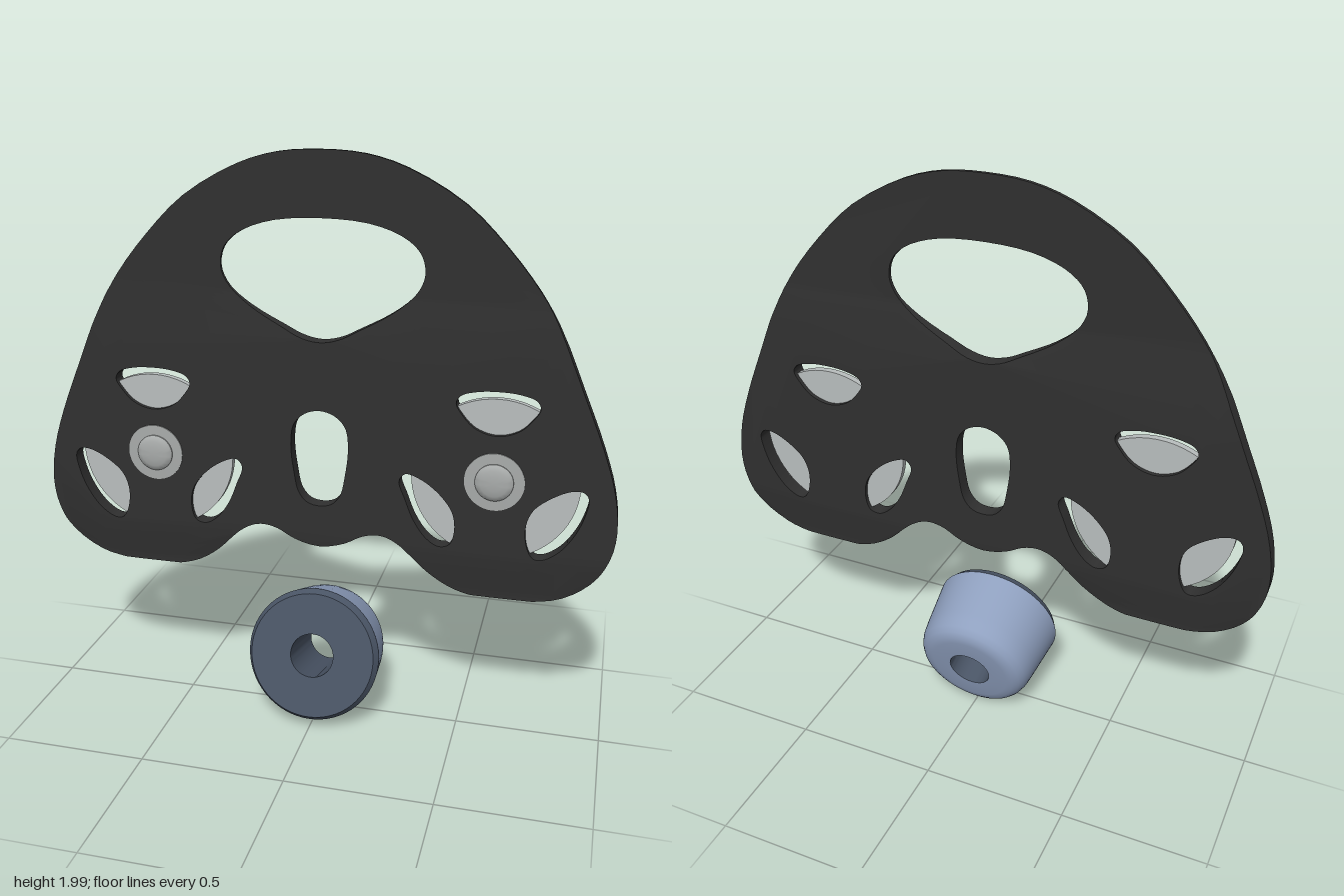
import * as THREE from 'three';
import { toCreasedNormals } from 'three/addons/utils/BufferGeometryUtils.js';

const mat = (name, color) => Object.assign(new THREE.MeshStandardMaterial({ color }), { name });

function mesh(name, geometry, material, parent) {
  const m = new THREE.Mesh(geometry, material);
  m.name = name;
  parent.add(m);
  return m;
}

// Smooth closed curve through a few points
function loop(points, samples) {
  const curve = new THREE.CatmullRomCurve3(points.map(([x, y]) => new THREE.Vector3(x, y, 0)), true);
  return curve.getPoints(samples).slice(0, -1).map(p => new THREE.Vector2(p.x, p.y));
}

// Complete a right half whose first and last points lie on the axis
const mirrored = half => [...half, ...half.slice(1, -1).reverse().map(([x, y]) => [-x, y])];

// Keep the part of a polygon above (side 1) or below (side -1) a height
function clip(poly, height, side) {
  const out = [];
  poly.forEach((a, i) => {
    const b = poly[(i + 1) % poly.length];
    const da = (a.y - height) * side, db = (b.y - height) * side;
    if (da >= 0) out.push(a);
    if (da * db < 0) out.push(a.clone().lerp(b, da / (da - db)));
  });
  return out;
}

// Cut all triangles at the given heights
function slice(geometry, heights) {
  const pos = geometry.attributes.position, out = [];
  for (let i = 0; i < pos.count; i += 3) {
    const tri = [0, 1, 2].map(k => new THREE.Vector3().fromBufferAttribute(pos, i + k));
    for (let b = 0; b < heights.length - 1; b++) {
      const poly = clip(clip(tri, heights[b], 1), heights[b + 1], -1);
      for (let k = 1; k < poly.length - 1; k++) {
        for (const p of [poly[0], poly[k], poly[k + 1]]) out.push(p.x, p.y, p.z);
      }
    }
  }
  const g = new THREE.BufferGeometry();
  g.setAttribute('position', new THREE.Float32BufferAttribute(out, 3));
  return g;
}

const WHEEL = [0.595, 0.94];

// Plate silhouette and openings, right half
const OUTLINE = [
  [0, 1.99], [0.145, 1.98], [0.28, 1.94], [0.465, 1.835], [0.6, 1.705], [0.71, 1.57],
  [0.77, 1.47], [0.866, 1.25], [0.94, 1.07], [0.984, 0.93], [1, 0.8], [0.984, 0.7],
  [0.93, 0.605], [0.84, 0.535], [0.745, 0.511], [0.725, 0.51], [0.545, 0.51], [0.524, 0.511],
  [0.45, 0.535], [0.374, 0.588], [0.294, 0.668], [0.24, 0.7], [0.198, 0.706],
  [0.15, 0.695], [0.09, 0.663], [0, 0.642],
];
const HANDLE = [
  [0, 1.776], [0.17, 1.762], [0.28, 1.72], [0.33, 1.67], [0.342, 1.605],
  [0.315, 1.545], [0.24, 1.48], [0.128, 1.417], [0.064, 1.385], [0, 1.373],
];
const SLOT = [
  [0, 1.138], [0.053, 1.123], [0.09, 1.083], [0.1, 1.01],
  [0.09, 0.914], [0.073, 0.84], [0.043, 0.805], [0, 0.795],
];
// Windows around each wheel, relative to its centre, x outward
const WINDOWS = [
  mirrored([[0, 0.308], [0.07, 0.303], [0.122, 0.286], [0.136, 0.26], [0.115, 0.222], [0.07, 0.178], [0, 0.158]]),
  [[0.307, -0.032], [0.29, -0.011], [0.25, -0.011], [0.185, -0.043], [0.131, -0.091], [0.11, -0.155],
    [0.12, -0.23], [0.142, -0.262], [0.174, -0.262], [0.227, -0.225], [0.275, -0.155], [0.302, -0.08]],
  [[-0.126, -0.187], [-0.136, -0.123], [-0.179, -0.064], [-0.243, -0.016], [-0.297, 0], [-0.318, -0.027],
    [-0.297, -0.09], [-0.265, -0.166], [-0.222, -0.225], [-0.179, -0.251], [-0.142, -0.241]],
];

// Height and half thickness of the plate
const THICKNESS = [[0.4, 0.004], [0.54, 0.006], [0.65, 0.027], [1.38, 0.027], [1.53, 0.007], [2.1, 0.007]];

function halfThickness(y) {
  const i = Math.max(1, THICKNESS.findIndex(([h]) => h >= y));
  const [y0, t0] = THICKNESS[i - 1], [y1, t1] = THICKNESS[i];
  return t0 + (t1 - t0) * (y - y0) / (y1 - y0);
}

function plateGeometry() {
  // Counter-clockwise outline, so that the walls of the openings face inwards
  const shape = new THREE.Shape(loop(mirrored(OUTLINE), 150).reverse());
  const cut = points => shape.holes.push(new THREE.Path(loop(points, 60)));
  cut(mirrored(HANDLE));
  cut(mirrored(SLOT));
  for (const side of [-1, 1]) {
    for (const w of WINDOWS) cut(w.map(([x, y]) => [side * (WHEEL[0] + x), WHEEL[1] + y]));
  }
  const flat = new THREE.ExtrudeGeometry(shape, { depth: 2, bevelEnabled: false }).translate(0, 0, -1);
  const g = slice(flat, THICKNESS.map(([h]) => h));
  const pos = g.attributes.position;
  for (let i = 0; i < pos.count; i++) pos.setZ(i, pos.getZ(i) * halfThickness(pos.getY(i)));
  return toCreasedNormals(g, 0.6);
}

const lathe = (points, segments = 64) =>
  toCreasedNormals(new THREE.LatheGeometry(points.map(([r, y]) => new THREE.Vector2(r, y)), segments), 0.6);

export function createModel() {
  const model = new THREE.Group();
  model.name = 'pulleyPlate';
  const black = mat('black plate', 0x303030);
  const silver = mat('silver wheel', 0xb9bebe);
  const steel = mat('steel bolt', 0xa8abaa);
  const blue = mat('blue roller', 0x8fa0bf);
  const slate = mat('slate roller face', 0x4a5566);

  mesh('plate', plateGeometry(), black, model).position.z = -0.004;

  // Wheels inside the plate, each with a flat washer and domed bolt in front
  const washerGeometry = lathe([[0.1, 0.015], [0.1, 0.027], [0.06, 0.028]], 40);
  const boltGeometry = lathe([[0.064, 0.02], [0.064, 0.033], [0.058, 0.039], [0.045, 0.044], [0.025, 0.047], [0, 0.048]], 40);
  for (const side of [-1, 1]) {
    const group = new THREE.Group();
    group.name = side > 0 ? 'leftWheel' : 'rightWheel';
    group.position.set(side * WHEEL[0], WHEEL[1], 0);
    group.rotation.x = Math.PI / 2;
    mesh('wheelDisc', new THREE.CylinderGeometry(0.28, 0.28, 0.024, 64), silver, group).position.y = -0.004;
    mesh('washer', washerGeometry, steel, group);
    mesh('bolt', boltGeometry, steel, group);
    model.add(group);
  }

  // Tilted roller below: rounded body, dark front face and bore
  const roller = new THREE.Group();
  roller.name = 'roller';
  roller.position.set(0, 0.269, 0.13);
  roller.rotation.x = Math.PI / 2 - 0.265;
  mesh('rollerBody', lathe([
    [0.077, -0.293], [0.145, -0.293], [0.168, -0.289], [0.188, -0.278], [0.202, -0.26],
    [0.211, -0.235], [0.216, -0.2], [0.235, -0.026],
  ]), blue, roller);
  mesh('rollerFace', lathe([[0.235, -0.026], [0.22, 0], [0.077, 0]]), slate, roller);
  mesh('rollerBore', lathe([[0.077, 0], [0.077, -0.293]]), slate, roller);
  model.add(roller);

  return model;
}
